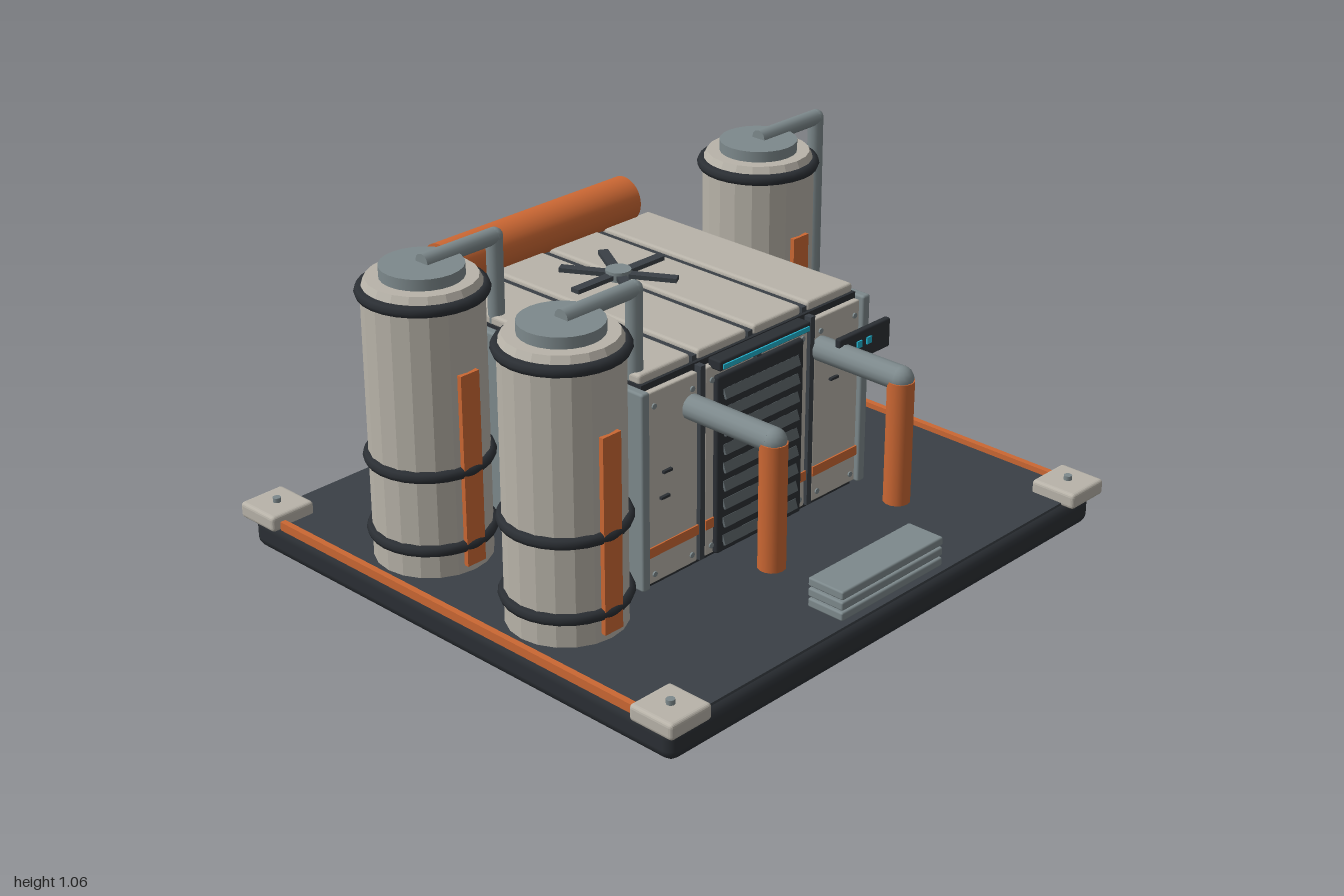
import * as THREE from 'three';
import { RoundedBoxGeometry } from 'three/addons/geometries/RoundedBoxGeometry.js';

const material = (name, color, flat = false) => {
  const m = new THREE.MeshStandardMaterial({ color, flatShading: flat });
  m.name = name;
  return m;
};

export function createModel() {
  const model = new THREE.Group();
  model.name = 'processingStation';
  const cream = material('creamPanel', 0xb8b3a9, true);
  const grey = material('greyMetal', 0x7d898c);
  const orange = material('orangePaint', 0xcb6733);
  const deckDark = material('deckDark', 0x3a4046);
  const dark = material('darkRubber', 0x2b2f34);
  const slatGrey = material('slatGrey', 0x5d666a);
  const cyan = material('cyanGlow', 0x20b0cc);

  const add = (name, geo, mat, x = 0, y = 0, z = 0, parent = model) => {
    const mesh = new THREE.Mesh(geo, mat);
    mesh.name = name;
    mesh.position.set(x, y, z);
    parent.add(mesh);
    return mesh;
  };
  // Box given by its limits, with optional rounded edges
  const box = (name, mat, [x0, x1], [y0, y1], [z0, z1], r = 0, parent = model) => {
    const s = [x1 - x0, y1 - y0, z1 - z0];
    const geo = r ? new RoundedBoxGeometry(...s, 2, r) : new THREE.BoxGeometry(...s);
    return add(name, geo, mat, (x0 + x1) / 2, (y0 + y1) / 2, (z0 + z1) / 2, parent);
  };
  // Round bar between two points
  const rod = (name, mat, a, b, r, sides = 14, parent = model) => {
    const p = new THREE.Vector3(...a), q = new THREE.Vector3(...b);
    const dir = q.clone().sub(p);
    const mesh = add(name, new THREE.CylinderGeometry(r, r, dir.length(), sides), mat, 0, 0, 0, parent);
    mesh.position.copy(p).add(q).multiplyScalar(0.5);
    mesh.quaternion.setFromUnitVectors(new THREE.Vector3(0, 1, 0), dir.normalize());
    return mesh;
  };
  const CX = -0.025; // centre line of platform and building

  // Platform with corner blocks and side trims
  box('platform', dark, [-0.975, 0.925], [0, 0.105], [-0.895, 0.885], 0.035);
  box('deck', deckDark, [-0.955, 0.905], [0.09, 0.11], [-0.875, 0.865]);
  for (const sx of [-1, 1]) {
    const x = CX + sx * 0.895;
    for (const z of [-0.84, 0.83]) {
      box('cornerBlock', cream, [x - 0.08, x + 0.08], [0.098, 0.15], [z - 0.08, z + 0.08], 0.012);
      rod('cornerBolt', grey, [x, 0.145, z], [x, 0.165, z], 0.013, 10);
    }
    const t = CX + sx * 0.938;
    box('sideTrim', orange, [t - 0.01, t + 0.01], [0.1, 0.128], [-0.76, 0.75]);
  }

  // Storage tanks with bands, stripe and overhead pipe
  const tank = (x, z) => {
    const g = new THREE.Group();
    g.name = 'tank';
    g.position.set(x, 0, z);
    model.add(g);
    const profile = [[0, 0.11], [0.18, 0.11], [0.18, 0.97], [0.165, 1.0], [0, 1.0]]
      .map(p => new THREE.Vector2(...p));
    add('tankBody', new THREE.LatheGeometry(profile, 20), cream, 0, 0, 0, g);
    rod('tankCap', grey, [0, 0.99, 0], [0, 1.035, 0], 0.125, 24, g);
    for (const y of [0.2, 0.44, 0.96]) {
      const band = add('tankBand', new THREE.TorusGeometry(0.178, 0.019, 8, 28), dark, 0, y, 0, g);
      band.rotation.x = Math.PI / 2;
    }
    box('tankStripe', orange, [-0.035, 0.035], [0.135, 0.75], [0.165, 0.19], 0, g);
    rod('overheadPipe', grey, [0, 1.037, 0], [0.28, 1.037, 0], 0.026, 12, g);
    add('pipeElbow', new THREE.SphereGeometry(0.027, 12, 8), grey, 0.28, 1.036, 0, g);
    rod('downPipe', grey, [0.28, 1.037, 0], [0.28, 0.25, 0], 0.026, 12, g);
  };
  [[-0.74, -0.32], [-0.74, 0.25], [0.69, -0.32]].forEach(p => tank(...p));

  // Building core and side walls
  box('buildingCore', dark, [-0.49, 0.44], [0.11, 0.765], [-0.585, 0.305]);
  for (const x of [-0.505, 0.455])
    box('sideWall', grey, [x - 0.016, x + 0.016], [0.125, 0.758], [-0.62, 0.34], 0.008);

  // Four bays of panels on the roof, front and back
  for (let i = 0; i < 4; i++) {
    const x0 = -0.485 + i * 0.239, x1 = x0 + 0.207, xs = [x0, x1];
    box('roofPanel', cream, xs, [0.758, 0.792], [-0.57, 0.295], 0.01);
    box('frontPanel', cream, xs, [0.13, 0.745], [0.29, 0.325], 0.006);
    box('backPanel', cream, xs, [0.13, 0.745], [-0.606, -0.57], 0.006);
    box('frontStripe', orange, xs, [0.22, 0.252], [0.323, 0.33]);
    box('backStripe', orange, xs, [0.22, 0.252], [-0.612, -0.604]);
    for (const x of [x0 + 0.025, x1 - 0.025]) for (const y of [0.16, 0.7]) {
      rod('frontScrew', grey, [x, y, 0.32], [x, y, 0.33], 0.009, 8);
      rod('backScrew', grey, [x, y, -0.6], [x, y, -0.612], 0.009, 8);
    }
    // Seam ribs between the bays
    if (i < 3) {
      const s = x1 + 0.016;
      box('roofRib', deckDark, [s - 0.01, s + 0.01], [0.75, 0.782], [-0.57, 0.295]);
      box('frontRib', deckDark, [s - 0.01, s + 0.01], [0.13, 0.76], [0.29, 0.33]);
      box('backRib', deckDark, [s - 0.01, s + 0.01], [0.13, 0.75], [-0.61, -0.57]);
    }
  }
  // Small dark handles on the front panels
  for (const [x, y] of [[-0.42, 0.4], [-0.41, 0.48], [0.32, 0.525]])
    box('panelHandle', dark, [x - 0.018, x + 0.018], [y - 0.004, y + 0.004], [0.32, 0.335]);

  // Slatted shutter door and light bar above it
  box('doorFrame', dark, [-0.212, 0.165], [0.13, 0.71], [0.31, 0.342], 0.008);
  for (let i = 0; i < 9; i++) {
    const slat = box('doorSlat', slatGrey, [-0.185, 0.14], [-0.016, 0.016], [-0.004, 0.004]);
    slat.position.set(CX, 0.17 + i * 0.06, 0.345);
    slat.rotation.x = -0.35;
  }
  box('lightBar', dark, [-0.222, 0.172], [0.735, 0.768], [0.31, 0.36], 0.006);
  box('lightStrip', cyan, [-0.212, 0.162], [0.742, 0.757], [0.359, 0.365]);

  // Orange roll along the rear roof edge
  rod('rearRoll', orange, [-0.42, 0.84, -0.615], [0.375, 0.84, -0.615], 0.075, 32);

  // Roof fan
  const fan = new THREE.Group();
  fan.name = 'roofFan';
  fan.position.set(CX, 0.805, -0.245);
  model.add(fan);
  rod('fanHub', grey, [0, -0.02, 0], [0, 0.018, 0], 0.04, 16, fan);
  for (let i = 0; i < 6; i++) {
    const arm = new THREE.Group();
    arm.name = 'fanArm';
    arm.rotation.y = i * Math.PI / 3;
    fan.add(arm);
    box('fanBlade', deckDark, [0.03, 0.185], [-0.006, 0.008], [-0.016, 0.016], 0, arm);
  }

  // Front pipes turning down
  for (const x of [-0.305, 0.255]) {
    rod('outletPipe', grey, [x, 0.645, 0.31], [x, 0.645, 0.64], 0.039, 14);
    add('outletElbow', new THREE.SphereGeometry(0.039, 14, 10), grey, x, 0.645, 0.64);
    rod('outletDrop', orange, [x, 0.64, 0.64], [x, 0.243, 0.64], 0.042, 14);
  }

  // Status plate with two lights
  box('statusPlate', dark, [0.235, 0.47], [0.61, 0.705], [0.4, 0.422], 0.006);
  for (const x of [0.322, 0.367])
    box('statusLight', cyan, [x - 0.011, x + 0.011], [0.654, 0.676], [0.42, 0.427]);

  // Control box on the left wall
  box('controlBox', dark, [0.465, 0.53], [0.265, 0.54], [0.022, 0.22], 0.014);
  box('controlScreen', cyan, [0.53, 0.538], [0.418, 0.505], [0.058, 0.19]);
  for (const y of [0.335, 0.362, 0.389])
    box('controlLine', grey, [0.528, 0.534], [y - 0.004, y + 0.004], [0.055, 0.193]);

  // Stack of step boards at the front
  for (let i = 0; i < 3; i++)
    box('stepBoard', grey, [-0.25, 0.205], [0.125 + i * 0.034, 0.153 + i * 0.034], [0.73, 0.86], 0.006);

  return model;
}
